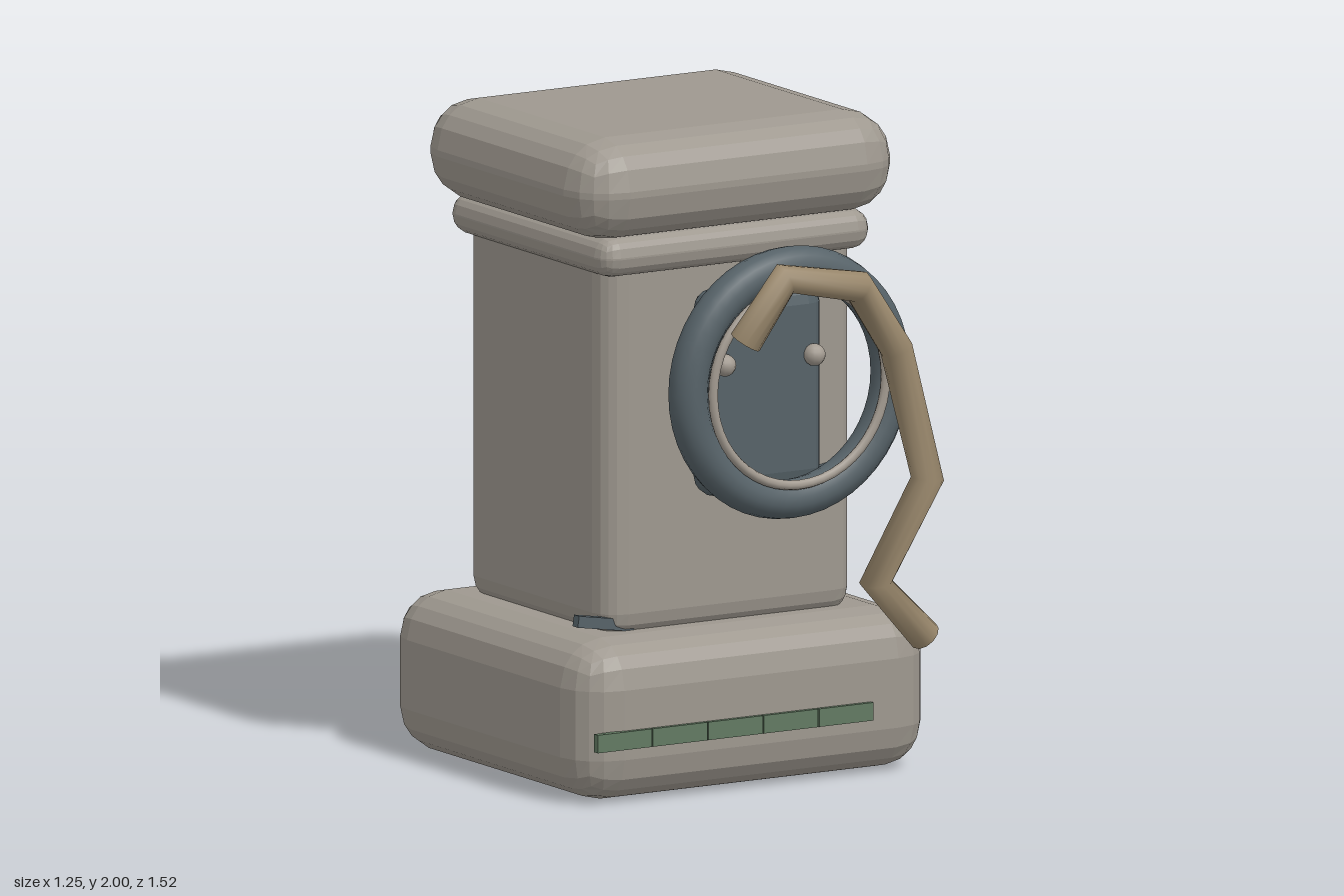
import * as THREE from 'three';
import { RoundedBoxGeometry } from 'three/addons/geometries/RoundedBoxGeometry.js';

export function createModel() {
  const model = new THREE.Group();
  const stone = new THREE.MeshStandardMaterial({ color: 0x9e988f });
  const steel = new THREE.MeshStandardMaterial({ color: 0x566268 });
  const canvas = new THREE.MeshStandardMaterial({ color: 0x9c8a6e, side: THREE.DoubleSide });
  const green = new THREE.MeshStandardMaterial({ color: 0x627a62 });
  const trim = new THREE.MeshStandardMaterial({ color: 0xa39b91 });
  stone.name = 'stone';
  steel.name = 'dark steel';
  canvas.name = 'tan hose';
  green.name = 'muted green';
  trim.name = 'pale trim';

  function add(name, geometry, material, x, y, z, roll = 0) {
    const mesh = new THREE.Mesh(geometry, material);
    mesh.name = name;
    mesh.position.set(x, y, z);
    mesh.rotation.z = roll;
    model.add(mesh);
    return mesh;
  }

  // Faceted rounded block spanning y0..y1
  function block(name, material, w, y0, y1, d, r, x, z) {
    const geometry = new RoundedBoxGeometry(w, y1 - y0, d, 2, r);
    geometry.computeVertexNormals();
    return add(name, geometry, material, x, (y0 + y1) / 2, z);
  }

  // Stone pedestal
  const cz = -0.185;
  block('base', stone, 1.245, 0, 0.492, 1.155, 0.14, 0, cz);
  block('shaft', stone, 0.885, 0.465, 1.67, 0.815, 0.08, 0, cz);
  block('collar', stone, 0.955, 1.58, 1.705, 0.91, 0.06, 0, cz);
  block('cap', stone, 1.125, 1.69, 2.0, 1.01, 0.145, 0, cz);

  // Front panel with two studs
  block('panel', steel, 0.415, 0.89, 1.525, 0.14, 0.065, 0.045, 0.29);
  for (const x of [-0.115, 0.2]) {
    add('stud', new THREE.SphereGeometry(0.034, 12, 8), trim, x, 1.305, 0.37);
  }

  // Ring and its thin inner rim
  add('ring', new THREE.TorusGeometry(0.356, 0.06, 14, 48), steel, 0.045, 1.255, 0.478);
  add('innerRim', new THREE.TorusGeometry(0.304, 0.015, 8, 48), trim, 0.045, 1.255, 0.535);

  // Narrow cracks set into the shaft
  const cracks = [
    [-0.43, 0.52, 0.19, 0.2, -0.16],
    [0.365, 0.925, 0.225, 0.21, 0.17],
    [0.27, 1.57, 0.225, 0.14, -0.12],
  ];
  for (const [x, y, z, length, roll] of cracks) {
    add('crack', new THREE.BoxGeometry(length, 0.035, 0.03), steel, x, y, z, roll);
  }

  // Row of green tiles across the base
  for (let i = 0; i < 5; i++) {
    add('tile', new THREE.BoxGeometry(0.191, 0.055, 0.022), green, -0.49 + i * 0.195, 0.202, 0.396);
  }

  // Kinked hose, with one straight segment between each pair of points
  const path = new THREE.CatmullRomCurve3([
    new THREE.Vector3(-0.21, 1.43, 0.64),
    new THREE.Vector3(-0.11, 1.625, 0.705),
    new THREE.Vector3(0.16, 1.57, 0.685),
    new THREE.Vector3(0.34, 1.35, 0.61),
    new THREE.Vector3(0.425, 0.95, 0.65),
    new THREE.Vector3(0.265, 0.645, 0.615),
    new THREE.Vector3(0.46, 0.455, 0.577),
  ]);
  path.getPointAt = path.getPoint;
  path.getTangentAt = path.getTangent;
  add('hose', new THREE.TubeGeometry(path, 6, 0.05, 12, false), canvas, 0, 0, 0);

  return model;
}
